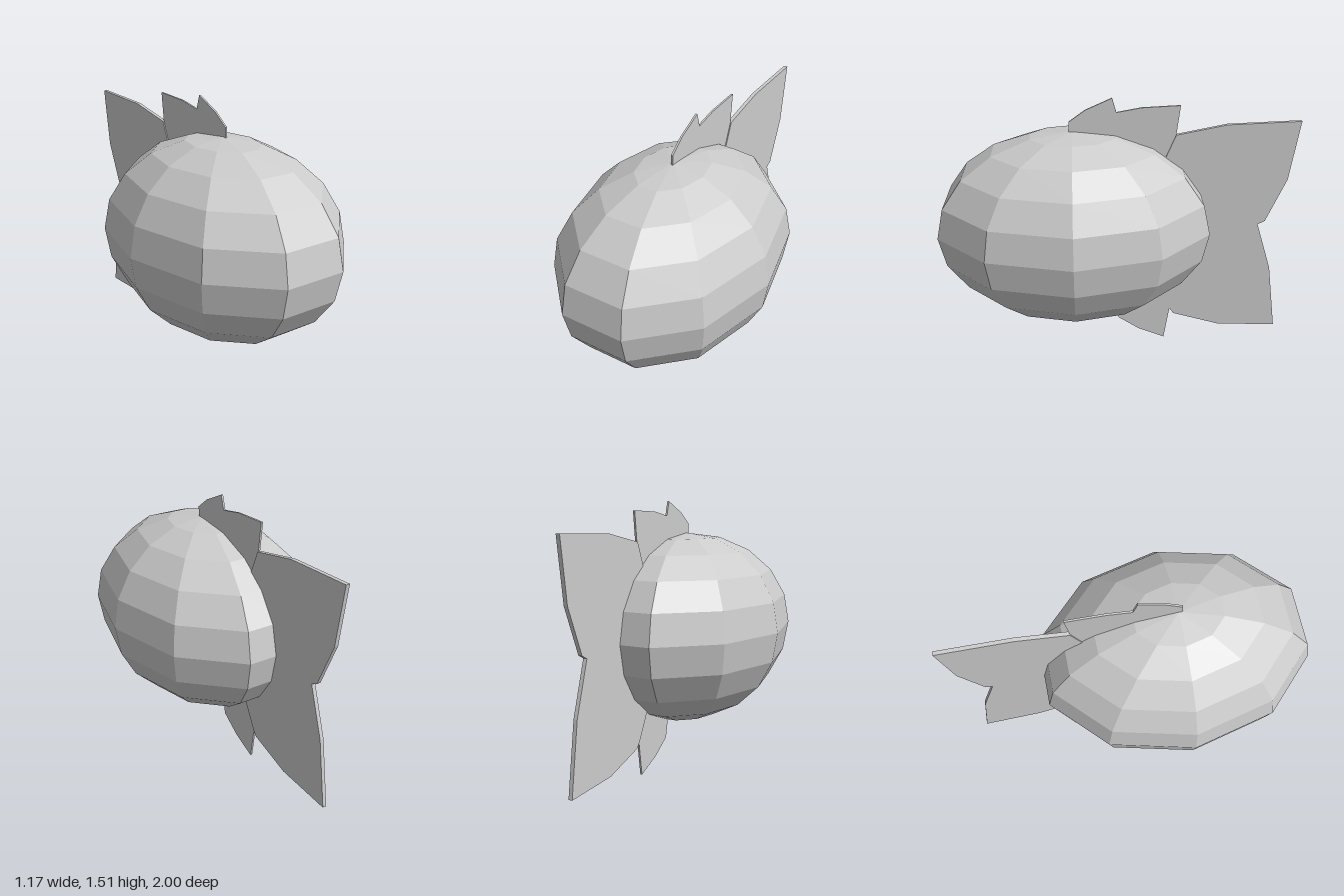
import * as THREE from 'three';

const material = new THREE.MeshStandardMaterial({ color: 0xcccccc, flatShading: true });

// Thin upright plate from a [z, y] outline, centred just off the middle plane
function makeFin(name, outline, thickness) {
  const shape = new THREE.Shape(outline.map(([z, y]) => new THREE.Vector2(z, y)));
  const geometry = new THREE.ExtrudeGeometry(shape, { depth: thickness, bevelEnabled: false });
  geometry.translate(0, 0, -thickness / 2);
  geometry.rotateY(-Math.PI / 2);
  geometry.translate(0.006, 0, 0);
  const mesh = new THREE.Mesh(geometry, material);
  mesh.name = name;
  return mesh;
}

export function createModel() {
  const model = new THREE.Group();
  model.name = 'fish';

  // Faceted egg-shaped body
  const bodyGeometry = new THREE.SphereGeometry(1, 10, 10);
  bodyGeometry.scale(0.583, 0.552, 0.789);
  bodyGeometry.translate(0, 0.774, 0.25);
  const body = new THREE.Mesh(bodyGeometry, material);
  body.name = 'body';
  model.add(body);

  // Forked tail, its root buried in the body
  model.add(makeFin('tailFin', [
    [-0.2, 1.08], [-0.26, 1.17], [-0.315, 1.3], [-0.595, 1.355], [-1, 1.37],
    [-0.95, 1.03], [-0.84, 0.775], [-0.8, 0.755], [-0.89, 0.47], [-0.945, 0.075],
    [-0.6, 0.09], [-0.33, 0.17], [-0.305, 0.205], [-0.2, 0.4],
  ], 0.022));

  // Notched fin along the back
  model.add(makeFin('dorsalFin', [
    [0.27, 1.25], [0.27, 1.38], [0.18, 1.445], [0.035, 1.51], [0.012, 1.43],
    [-0.125, 1.455], [-0.335, 1.465], [-0.315, 1.3], [-0.26, 1.17], [-0.15, 1.1],
  ], 0.011));

  // Small fin under the belly
  model.add(makeFin('bellyFin', [
    [0.03, 0.32], [0.02, 0.245], [0, 0.145], [-0.12, 0.065], [-0.275, 0],
    [-0.307, 0.205], [-0.25, 0.36],
  ], 0.011));

  return model;
}
